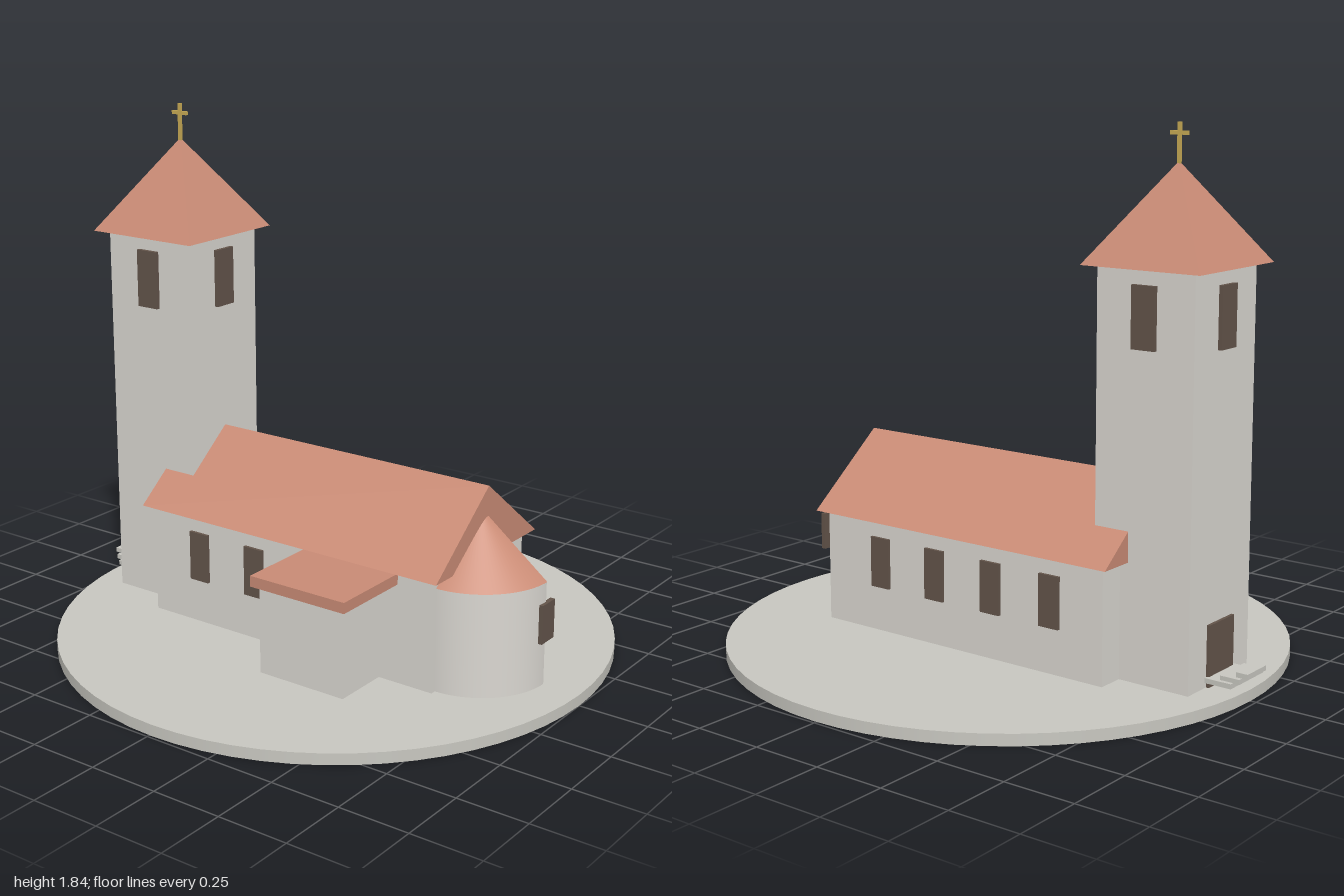
import * as THREE from 'three';

const mat = (color, extra = {}) => new THREE.MeshStandardMaterial({ color, ...extra });

export function createModel() {
  const model = new THREE.Group();
  model.name = 'church';

  const wall = mat(0xdad7d1), roof = mat(0xc98b75), stone = mat(0xc8c7c0);
  const wood = mat(0x63544a), gold = mat(0xc9ab55);
  const wallOpen = mat(0xdad7d1, { side: THREE.DoubleSide });
  const roofOpen = mat(0xc98b75, { side: THREE.DoubleSide });

  const add = (name, geometry, material, x = 0, y = 0, z = 0, parent = model) => {
    const mesh = new THREE.Mesh(geometry, material);
    mesh.name = name;
    mesh.position.set(x, y, z);
    parent.add(mesh);
    return mesh;
  };
  // Box given by its minimum and maximum corners
  const box = (name, material, [x0, y0, z0], [x1, y1, z1], parent = model) =>
    add(name, new THREE.BoxGeometry(x1 - x0, y1 - y0, z1 - z0), material,
      (x0 + x1) / 2, (y0 + y1) / 2, (z0 + z1) / 2, parent);

  // Round ground slab
  add('groundSlab', new THREE.CylinderGeometry(0.99, 0.99, 0.04, 64), stone, 0.01, 0.02, 0);

  // Tower with pyramid roof
  const tower = new THREE.Group();
  tower.name = 'tower';
  tower.position.x = -0.673;
  model.add(tower);
  const T = 0.183;
  box('towerWalls', wall, [-T, 0.04, -T], [T, 1.395, T], tower);
  const spire = new THREE.ConeGeometry(0.223 * Math.SQRT2, 0.325, 4, 1).toNonIndexed();
  spire.rotateY(Math.PI / 4);
  spire.computeVertexNormals();
  add('towerRoof', spire, roof, 0, 1.5575, 0, tower);

  // Belfry window on each side of the tower
  for (let i = 0; i < 4; i++) {
    const side = new THREE.Group();
    side.name = 'belfryWindow';
    side.rotation.y = i * Math.PI / 2;
    box('belfryShutter', wood, [-0.044, 1.14, T - 0.005], [0.044, 1.345, T + 0.014], side);
    tower.add(side);
  }

  // Cross
  box('crossPost', gold, [-0.006, 1.7, -0.005], [0.006, 1.842, 0.005], tower);
  box('crossArm', gold, [-0.033, 1.802, -0.005], [0.033, 1.815, 0.005], tower);

  // Door and entrance steps
  box('door', wood, [-T - 0.011, 0.04, -0.075], [-T, 0.25, 0.075], tower);
  [[-0.957, -0.86, 0.06, 0.09], [-0.979, -0.908, 0.075, 0.075], [-1, -0.957, 0.092, 0.058]]
    .forEach(([x0, x1, y, w]) => box('step', stone, [x0, y, -w], [x1, y + 0.017, w]));

  // Nave with gable roof
  box('naveWalls', wall, [-0.59, 0.04, -0.28], [0.603, 0.44, 0.28]);
  const gable = new THREE.Shape([
    new THREE.Vector2(-0.313, 0.44), new THREE.Vector2(0.313, 0.44), new THREE.Vector2(0, 0.69),
  ]);
  const gableRoof = new THREE.ExtrudeGeometry(gable, { depth: 1.255, bevelEnabled: false });
  gableRoof.rotateY(Math.PI / 2);
  add('naveRoof', gableRoof, roof, -0.62, 0, 0);

  // Nave windows on both long sides
  for (const s of [-1, 1])
    for (let i = 0; i < 4; i++)
      add('naveWindow', new THREE.BoxGeometry(0.08, 0.18, 0.02), wood, -0.38 + i * 0.245, 0.29, s * 0.281);

  // Quarter-round apse with conical roof
  add('apseWall', new THREE.CylinderGeometry(0.26, 0.26, 0.365, 24, 1, false, 0, Math.PI / 2),
    wallOpen, 0.603, 0.2225, 0);
  add('apseRoof', new THREE.ConeGeometry(0.262, 0.204, 24, 1, false, 0, Math.PI / 2),
    roofOpen, 0.603, 0.507, 0);
  box('apseWindow', wood, [0.857, 0.198, -0.039], [0.874, 0.335, 0.039]);

  // Side annex with flat roof
  box('annexWalls', wall, [0.11, 0.085, 0.275], [0.446, 0.395, 0.56]);
  box('annexRoof', roof, [0.087, 0.392, 0.26], [0.465, 0.43, 0.58]);

  return model;
}
